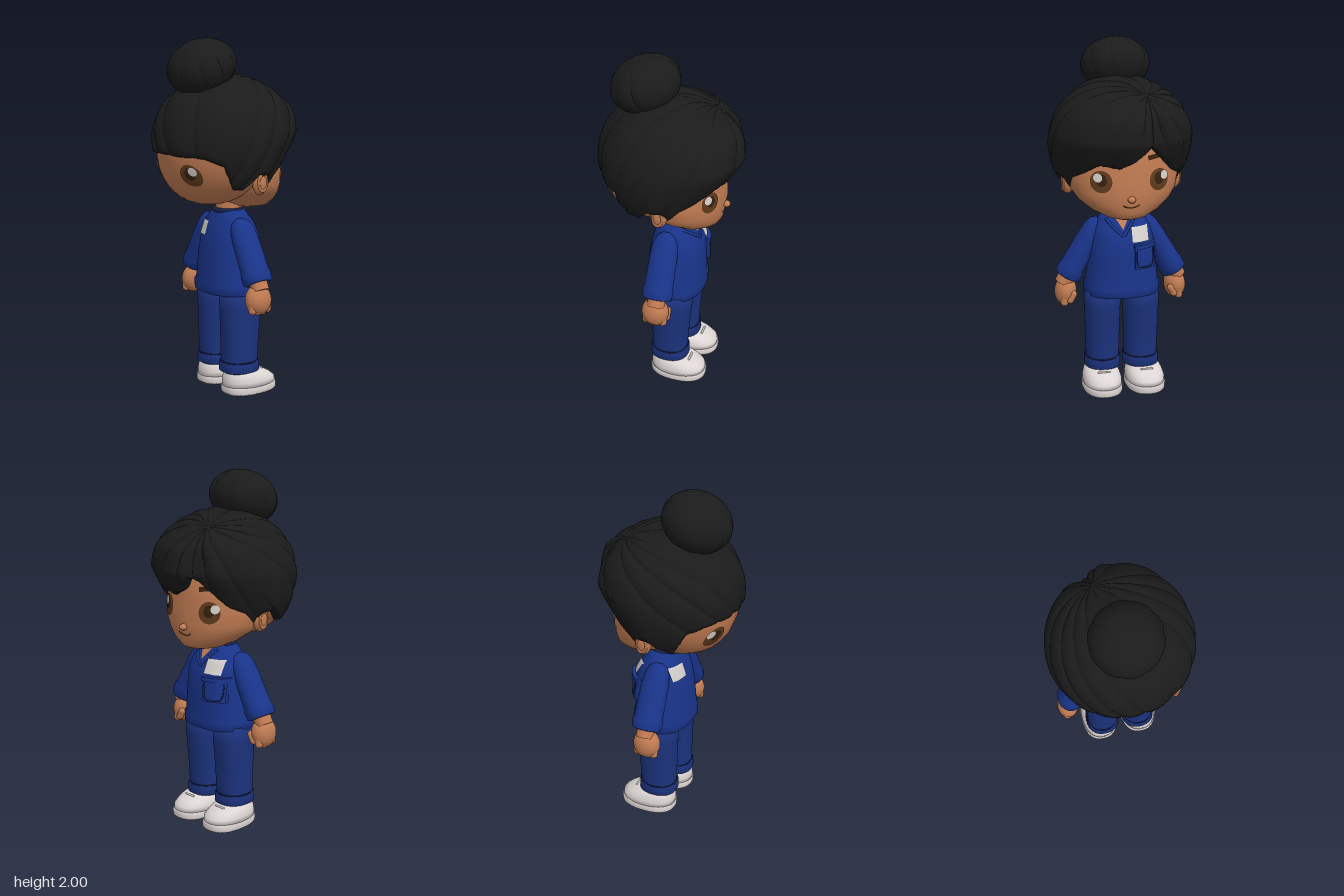
import * as THREE from 'three';

const mat = (name, color, side = THREE.FrontSide) => {
  const m = new THREE.MeshStandardMaterial({ color, side });
  m.name = name;
  return m;
};

// Rings are [y, halfWidth, centreZ, halfDepth]; e is the superellipse exponent
function loft(rings, e = 2, n = 40) {
  const pos = [], idx = [], k = 2 / e;
  const sp = v => Math.sign(v) * Math.abs(v) ** k;
  rings.forEach(([y, rx, cz, rz]) => {
    for (let i = 0; i < n; i++) {
      const a = i / n * Math.PI * 2;
      pos.push(rx * sp(Math.cos(a)), y, cz + rz * sp(Math.sin(a)));
    }
  });
  const m = rings.length, lo = m * n, hi = lo + 1;
  pos.push(0, rings[0][0], rings[0][2], 0, rings[m - 1][0], rings[m - 1][2]);
  for (let i = 0; i < n; i++) {
    const q = (i + 1) % n;
    for (let j = 0; j < m - 1; j++) {
      const a = j * n + i, b = a + n, c = (j + 1) * n + q, d = j * n + q;
      idx.push(a, b, c, a, c, d);
    }
    idx.push(lo, i, q, hi, (m - 1) * n + q, (m - 1) * n + i);
  }
  return surface(pos, idx);
}

function surface(pos, idx) {
  const g = new THREE.BufferGeometry();
  g.setAttribute('position', new THREE.Float32BufferAttribute(pos, 3));
  g.setIndex(idx);
  g.computeVertexNormals();
  return g;
}

// Depth of a lofted surface at (x, y); side is 1 for front, -1 for back
const depth = (rings, e = 2, side = 1) => (x, y) => {
  let j = 0;
  while (j < rings.length - 2 && y > rings[j + 1][0]) j++;
  const t = THREE.MathUtils.clamp((y - rings[j][0]) / (rings[j + 1][0] - rings[j][0]), 0, 1);
  const [, rx, cz, rz] = rings[j].map((v, i) => v + (rings[j + 1][i] - v) * t);
  return cz + side * rz * Math.max(0, 1 - Math.abs(x / rx) ** e) ** (1 / e);
};

// Lay a flat geometry, moved to (x, y), onto a surface
function conform(g, x, y, surf, off) {
  g.translate(x, y, 0);
  const p = g.attributes.position;
  for (let i = 0; i < p.count; i++) p.setZ(i, p.getZ(i) + surf(p.getX(i), p.getY(i)) + off);
  g.computeVertexNormals();
  return g;
}
const disc = (rx, ry) => new THREE.RingGeometry(0, 1, 28, 4).scale(rx, ry, 1);
const ball = (rx, ry, rz) => new THREE.SphereGeometry(1, 32, 24).scale(rx, ry, rz);

// Hairline height by azimuth in degrees (0 = front, positive = model's left)
const FRINGE = [[-180, 1.39], [-140, 1.38], [-125, 1.34], [-116, 1.21], [-98, 1.2], [-93, 1.29], [-82, 1.28],
  [-75, 1.21], [-66, 1.28], [-55, 1.31], [-31, 1.38], [-12, 1.36], [3, 1.4], [14, 1.48], [24, 1.45], [38, 1.38],
  [50, 1.32], [66, 1.28], [75, 1.21], [82, 1.28], [93, 1.29], [98, 1.2], [116, 1.21], [125, 1.34], [140, 1.38], [180, 1.39]];
function hairline(az) {
  let j = 0;
  while (j < FRINGE.length - 2 && az > FRINGE[j + 1][0]) j++;
  const [a, b] = [FRINGE[j], FRINGE[j + 1]];
  return a[1] + (b[1] - a[1]) * (az - a[0]) / (b[0] - a[0]);
}
const azimuth = p => Math.atan2(p.x, p.z) * 180 / Math.PI;

// Hair cap: locks fan out from a parting point and stop at the hairline
function hairCap() {
  const w = new THREE.Vector3(0.1, 0.29, 0.22).normalize();
  const u = new THREE.Vector3(1, 0, 0).cross(w).normalize(), v = w.clone().cross(u);
  const N = 288, M = 32, pos = [], idx = [];
  const point = (th, ph) => {
    const f = ph + 0.22 * th;
    const d = w.clone().multiplyScalar(Math.cos(th))
      .addScaledVector(u, Math.sin(th) * Math.cos(f)).addScaledVector(v, Math.sin(th) * Math.sin(f));
    const s = 1 / Math.hypot(d.x / 0.398, d.y / (d.y > 0 ? 0.362 : 0.42), d.z / 0.405);
    const lock = Math.abs(Math.sin(7 * (ph + 0.18 * Math.sin(3 * ph)))) ** 0.45 - 0.8;
    const front = Math.max(0, d.z);
    const parting = 0.12 * front * Math.exp(-(((azimuth(d) - 23) / 9) ** 2));
    d.multiplyScalar(s * (1 + (0.04 * lock - parting) * Math.min(1, th / 0.5)));
    // The fringe puffs out below the parting and curls in towards the forehead
    const curl = 1 + 0.07 * front * Math.exp(-(((d.y - 0.19) / 0.08) ** 2))
      - 1.4 * Math.max(0, 0.05 - d.y) * Math.max(0, d.z / 0.4);
    return d.set(d.x * curl, d.y, d.z * curl);
  };
  const rows = Array.from({ length: M + 3 }, () => []);
  for (let i = 0; i < N; i++) {
    const ph = i / N * Math.PI * 2;
    let t = 0.15;
    for (; t < 2.8; t += 0.01) {
      const p = point(t, ph);
      if (p.y + 1.44 < hairline(azimuth(p))) break;
    }
    for (let j = 0; j <= M; j++) rows[j].push(point(t * j / M, ph));
    const end = rows[M][i];
    [0.94, 0.78].forEach((k, q) => rows[M + 1 + q].push(new THREE.Vector3(end.x * k, end.y - 0.008 * (1 - q), end.z * k)));
  }
  rows.flat().forEach(p => pos.push(p.x, p.y + 1.44, p.z));
  for (let j = 0; j < M + 2; j++) for (let i = 0; i < N; i++) {
    const q = (i + 1) % N, a = j * N + i, b = a + N, c = (j + 1) * N + q, d = j * N + q;
    idx.push(a, b, c, a, c, d);
  }
  return surface(pos, idx);
}

export function createModel() {
  const skin = mat('skin', 0xc07b52, THREE.DoubleSide), hair = mat('hair', 0x1b1b1b, THREE.DoubleSide);
  const blue = mat('tunic blue', 0x19348a), trouserBlue = mat('trouser blue', 0x1b327c), navy = mat('dark trim', 0x18204a);
  const white = mat('white', 0xd3cfcc, THREE.DoubleSide), shoeMat = mat('shoe white', 0xdcd5d3), soleMat = mat('sole grey', 0x857d7d);
  const brown = mat('eye brown', 0x5f3a1c, THREE.DoubleSide), dark = mat('pupil brown', 0x36210f, THREE.DoubleSide);
  const body = new THREE.Group();
  body.name = 'figure';
  const add = (name, geo, m, x = 0, y = 0, z = 0, parent = body) => {
    const mesh = new THREE.Mesh(geo, m);
    mesh.name = name;
    mesh.position.set(x, y, z);
    parent.add(mesh);
    return mesh;
  };
  const line = (name, pts, surf, r, m) => add(name, new THREE.TubeGeometry(new THREE.CatmullRomCurve3(
    pts.map(([x, y]) => new THREE.Vector3(x, y, surf(x, y)))), 24, r, 8), m);

  // Head: face, rounded skull behind it, neck, nose, mouth
  const face = [[1.05, 0.06, 0.17, 0.07], [1.065, 0.12, 0.155, 0.12], [1.1, 0.19, 0.13, 0.163], [1.15, 0.255, 0.1, 0.2],
    [1.2, 0.292, 0.07, 0.235], [1.28, 0.308, 0.06, 0.24], [1.36, 0.3, 0.05, 0.24], [1.45, 0.29, 0.04, 0.24], [1.56, 0.24, 0.03, 0.2]];
  const faceZ = depth(face);
  add('face', loft(face, 2, 56), skin);
  const sag = y => 0.1 * Math.min(0, y / 0.355) ** 2;
  const skull = ball(0.375, 0.355, 0.388), sp = skull.attributes.position;
  for (let i = 0; i < sp.count; i++) {
    const y = sp.getY(i), z = sp.getZ(i);
    sp.setY(i, y > 0 ? y * 0.8 : y);
    sp.setZ(i, z * (z > 0 ? 0.6 : 1) - sag(y));
  }
  skull.computeVertexNormals();
  add('backOfHead', skull, skin, 0, 1.44, 0);
  const skullZ = (x, y) => -0.388 * Math.sqrt(Math.max(0, 1 - (x / 0.375) ** 2 - ((y - 1.44) / 0.355) ** 2)) - sag(y - 1.44);
  add('neck', new THREE.CylinderGeometry(0.07, 0.078, 0.16, 32), skin, 0, 1.06, 0.03);
  add('nose', ball(0.022, 0.018, 0.024), skin, 0, 1.182, faceZ(0, 1.182) + 0.006);
  line('mouth', [[-0.045, 1.148], [-0.02, 1.137], [0.02, 1.137], [0.045, 1.148]], faceZ, 0.003, brown);
  add('leftEyebrow', conform(new THREE.PlaneGeometry(0.09, 0.025, 8, 2).rotateZ(0.12), 0.14, 1.405, faceZ, 0.006), dark);

  // Eyes on the face, with the same painted pair at the back of the head
  for (const s of [-1, 1]) for (const [place, surf, o] of [['front', faceZ, 1], ['back', skullZ, -1]]) {
    const x = 0.158 * s;
    add(place + 'EyeIris', conform(disc(0.056, 0.06), x, 1.278, surf, 0.004 * o), brown);
    add(place + 'EyePupil', conform(disc(0.028, 0.034), x, 1.286, surf, 0.006 * o), dark);
    add(place + 'EyeHighlight', conform(disc(0.022, 0.024), x + (s > 0 ? 0.032 : -0.018), 1.3, surf, 0.008 * o), white);
  }
  for (const s of [-1, 1]) {
    add('ear', ball(0.036, 0.068, 0.046), skin, 0.302 * s, 1.23, 0.025);
    const rim = add('earRim', new THREE.TorusGeometry(0.034, 0.009, 8, 24).scale(0.8, 1.3, 1), skin, 0.327 * s, 1.232, 0.025);
    rim.rotation.y = Math.PI / 2;
  }

  // Hair with a segmented bun
  add('hair', hairCap(), hair);
  const bun = new THREE.SphereGeometry(1, 120, 40), bp = bun.attributes.position;
  for (let i = 0; i < bp.count; i++) {
    const a = Math.atan2(bp.getZ(i), bp.getX(i)), flat = Math.hypot(bp.getX(i), bp.getZ(i));
    const k = 1 + 0.035 * Math.min(1, flat * 1.5) * (Math.abs(Math.sin(5 * a)) ** 0.4 - 0.92);
    bp.setXYZ(i, bp.getX(i) * k * 0.193, bp.getY(i) * 0.15, bp.getZ(i) * k * 0.193);
  }
  bun.computeVertexNormals();
  add('bun', bun, hair, 0, 1.843, -0.15).rotation.x = -0.38;

  // Tunic with hem, collar, pocket and white patches
  const torso = [[0.575, 0.195, 0.03, 0.155], [0.582, 0.215, 0.03, 0.17], [0.632, 0.217, 0.03, 0.172], [0.64, 0.207, 0.03, 0.164],
    [0.8, 0.19, 0.035, 0.158], [0.9, 0.178, 0.04, 0.146], [0.97, 0.158, 0.035, 0.12], [1.02, 0.125, 0.03, 0.09], [1.048, 0.092, 0.03, 0.078]];
  const E = 2.3, chest = depth(torso, E), back = depth(torso, E, -1);
  add('tunic', loft(torso, E, 48), blue);
  add('collar', new THREE.TorusGeometry(0.08, 0.014, 10, 40, Math.PI * 1.3).rotateX(-Math.PI / 2).rotateY(-Math.PI * 0.15), navy, 0, 1.043, 0.03);
  const vee = new THREE.PlaneGeometry(0.1, 0.08, 8, 8), vp = vee.attributes.position;
  for (let i = 0; i < vp.count; i++) vp.setX(i, vp.getX(i) * (vp.getY(i) + 0.04) / 0.08);
  add('neckOpening', conform(vee, -0.015, 1.01, chest, 0.005), skin);
  line('rightLapel', [[-0.1, 1.02], [-0.06, 0.975], [-0.015, 0.935]], chest, 0.009, blue);
  line('leftLapel', [[0.06, 1.03], [0.02, 0.98], [-0.015, 0.935]], chest, 0.009, blue);
  add('pocket', conform(new THREE.BoxGeometry(0.12, 0.13, 0.03, 8, 8, 1), 0.105, 0.815, chest, 0.006), blue);
  add('pocketFlap', conform(new THREE.BoxGeometry(0.13, 0.022, 0.036, 8, 2, 1), 0.105, 0.878, chest, 0.012), blue);
  const pocketZ = (x, y) => chest(x, y) + 0.021;
  line('pocketStitch', [[0.055, 0.86], [0.056, 0.79], [0.065, 0.764], [0.105, 0.76], [0.145, 0.764], [0.154, 0.79], [0.155, 0.86]], pocketZ, 0.003, navy);
  add('chestPatch', conform(new THREE.PlaneGeometry(0.1, 0.08, 8, 8), 0.082, 0.942, chest, 0.008), white);
  add('backPatch', conform(new THREE.PlaneGeometry(0.1, 0.08, 8, 8), 0.082, 0.942, back, -0.006), white);

  // Trousers
  add('hips', loft([[0.565, 0.19, 0.03, 0.115], [0.62, 0.2, 0.03, 0.135]], 2.5), trouserBlue);
  const leg = [[0.125, 0.09, 0.025, 0.1], [0.132, 0.103, 0.025, 0.112], [0.18, 0.103, 0.025, 0.112], [0.186, 0.094, 0.025, 0.102],
    [0.35, 0.098, 0.028, 0.11], [0.5, 0.102, 0.033, 0.12], [0.6, 0.103, 0.033, 0.125]];
  // Shoes: grey tread, sole and rounded upper
  const tread = [[0, 0.1, 0.083, 0.152], [0.006, 0.108, 0.083, 0.16]];
  const sole = [[0.005, 0.108, 0.083, 0.16], [0.014, 0.114, 0.083, 0.166], [0.042, 0.115, 0.083, 0.167], [0.05, 0.109, 0.083, 0.161]];
  const upper = [[0.04, 0.111, 0.083, 0.163], [0.075, 0.11, 0.08, 0.16], [0.1, 0.102, 0.066, 0.142],
    [0.12, 0.092, 0.05, 0.118], [0.135, 0.075, 0.03, 0.088]];
  // Sleeve with a turned cuff, along its own axis
  const sleeve = [[-0.36, 0.06, 0, 0.068], [-0.355, 0.073, 0, 0.084], [-0.305, 0.075, 0, 0.088], [-0.298, 0.069, 0, 0.082],
    [-0.2, 0.065, 0, 0.08], [-0.1, 0.06, 0, 0.078], [-0.04, 0.054, 0, 0.07], [0, 0.04, 0, 0.052], [0.02, 0.015, 0, 0.02]];
  for (const s of [-1, 1]) {
    add('trouserLeg', loft(leg, 2.3), trouserBlue, 0.112 * s);
    add('cuffSeam', new THREE.TorusGeometry(0.097, 0.004, 6, 36).rotateX(Math.PI / 2).scale(1, 1, 1.09), navy, 0.112 * s, 0.188, 0.025);
    add('shoeTread', loft(tread, 2.4), soleMat, 0.125 * s);
    add('shoeSole', loft(sole, 2.4), shoeMat, 0.125 * s);
    add('shoeUpper', loft(upper, 2.3), shoeMat, 0.125 * s);
    add('shoeLace', new THREE.CapsuleGeometry(0.006, 0.06, 4, 8).rotateZ(Math.PI / 2), shoeMat, 0.125 * s, 0.124, 0.155);
    const arm = new THREE.Group();
    arm.name = 'arm';
    arm.position.set(0.138 * s, 0.988, 0.012);
    arm.rotation.z = 0.5 * s;
    body.add(arm);
    add('sleeve', loft(sleeve, 2.1), blue, 0, 0, 0, arm);
    add('wrist', new THREE.CylinderGeometry(0.05, 0.05, 0.07, 24), skin, 0, -0.37, 0, arm);
    // Loose fist
    const hand = new THREE.Group();
    hand.name = 'hand';
    hand.position.set(0.319 * s, 0.585, 0.005);
    hand.rotation.z = 0.1 * s;
    body.add(hand);
    add('palm', ball(0.062, 0.084, 0.078), skin, 0, 0, 0, hand);
    for (let i = 0; i < 4; i++)
      add('finger', new THREE.CapsuleGeometry(0.023, 0.045, 6, 12), skin, 0.008 * s, -0.042 + 0.006 * Math.abs(i - 1.5), -0.049 + i * 0.033, hand);
    add('thumb', new THREE.CapsuleGeometry(0.02, 0.04, 6, 12), skin, -0.03 * s, -0.02, 0.062, hand).rotation.z = 0.4 * s;
  }

  // The figure looks along +x
  body.rotation.y = Math.PI / 2;
  const root = new THREE.Group();
  root.name = 'character';
  root.add(body);
  return root;
}
